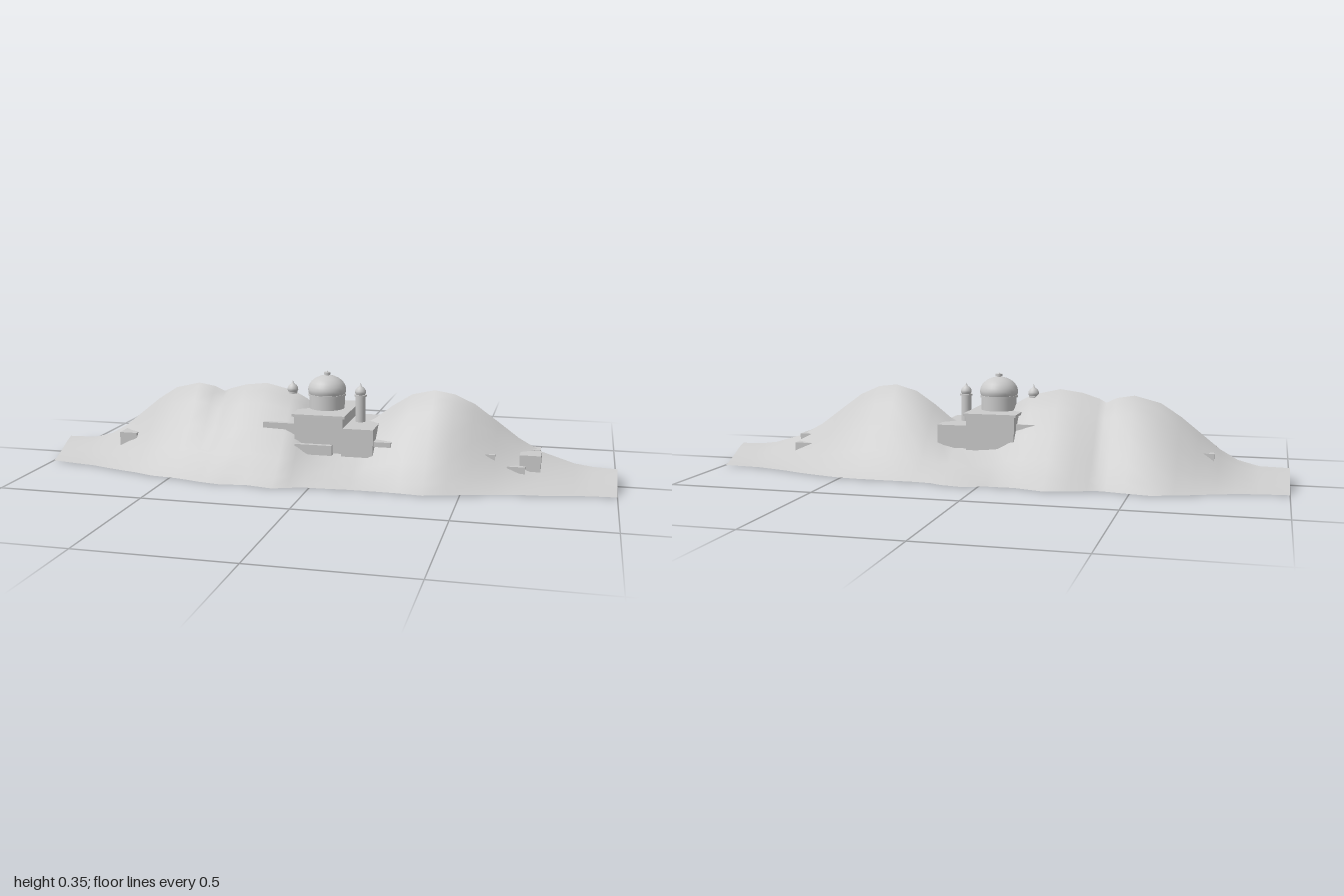
import * as THREE from 'three';

const material = new THREE.MeshStandardMaterial({ color: 0xcccccc });
const slopeMaterial = new THREE.MeshStandardMaterial({ color: 0xcccccc, side: THREE.DoubleSide });

// Hill stations: x, ridge height, ridge z, front foot z, back foot z
const stations = [
  [-1, 0.06, -0.01, 0.13, -0.16], [-0.9, 0.062, -0.01, 0.15, -0.17], [-0.83, 0.08, -0.01, 0.16, -0.185],
  [-0.77, 0.115, -0.015, 0.18, -0.205], [-0.7, 0.172, -0.02, 0.2, -0.235], [-0.64, 0.22, -0.02, 0.215, -0.255],
  [-0.57, 0.265, -0.02, 0.24, -0.28], [-0.48, 0.287, -0.015, 0.25, -0.265], [-0.42, 0.277, -0.015, 0.265, -0.253],
  [-0.385, 0.26, -0.02, 0.275, -0.25], [-0.36, 0.272, -0.01, 0.28, -0.26], [-0.3, 0.29, -0.005, 0.29, -0.28],
  [-0.22, 0.3, 0, 0.275, -0.3], [-0.12, 0.277, 0, 0.295, -0.27], [-0.07, 0.25, 0, 0.275, -0.272],
  [-0.02, 0.2, 0, 0.258, -0.272], [0.05, 0.17, 0, 0.256, -0.3], [0.13, 0.168, -0.01, 0.25, -0.285],
  [0.17, 0.188, -0.02, 0.25, -0.265], [0.23, 0.235, -0.02, 0.25, -0.258], [0.3, 0.28, -0.015, 0.252, -0.258],
  [0.38, 0.3, -0.005, 0.26, -0.258], [0.45, 0.291, 0.005, 0.24, -0.257], [0.52, 0.26, 0.005, 0.218, -0.25],
  [0.6, 0.2, -0.005, 0.197, -0.23], [0.67, 0.147, -0.01, 0.178, -0.21], [0.75, 0.103, -0.01, 0.17, -0.18],
  [0.86, 0.07, -0.005, 0.145, -0.15], [0.92, 0.062, -0.005, 0.137, -0.145], [1, 0.06, 0, 0.13, -0.14],
];

// Slope outline from ridge to foot: distance fraction, height fraction
const slope = [[0, 1], [0.1, 0.92], [0.22, 0.81], [0.43, 0.56], [0.65, 0.3], [0.85, 0.11], [1, 0]];

const sectionPoint = ([x, h, rz, front, back], side, [d, f]) =>
  [x, h * f, rz + d * ((side > 0 ? front : back) - rz)];

// Grid of points joined into a surface; flip reverses the facing
function surface(rows, flip, mat) {
  const cols = rows[0].length;
  const index = [];
  for (let i = 0; i < rows.length - 1; i++) {
    for (let j = 0; j < cols - 1; j++) {
      const a = i * cols + j, b = a + 1, c = a + cols, d = c + 1;
      if (flip) index.push(a, c, b, b, c, d);
      else index.push(a, b, c, b, d, c);
    }
  }
  const g = new THREE.BufferGeometry();
  g.setAttribute('position', new THREE.Float32BufferAttribute(rows.flat(2), 3));
  g.setIndex(index);
  g.computeVertexNormals();
  return new THREE.Mesh(g, mat);
}

function add(parent, name, mesh) {
  mesh.name = name;
  parent.add(mesh);
  return mesh;
}

// Box given by its limits on each axis
function block(parent, name, x0, x1, y0, y1, z0, z1, turn = 0) {
  const mesh = add(parent, name, new THREE.Mesh(new THREE.BoxGeometry(x1 - x0, y1 - y0, z1 - z0), material));
  mesh.position.set((x0 + x1) / 2, (y0 + y1) / 2, (z0 + z1) / 2);
  mesh.rotation.y = turn;
}

function turned(parent, name, points, segments, x = 0) {
  const profile = points.map(([r, y]) => new THREE.Vector2(r, y));
  const mesh = add(parent, name, new THREE.Mesh(new THREE.LatheGeometry(profile, segments), slopeMaterial));
  mesh.position.x = x;
}

function cylinder(parent, name, r, y0, y1, x = 0) {
  const mesh = add(parent, name, new THREE.Mesh(new THREE.CylinderGeometry(r, r, y1 - y0, 24), material));
  mesh.position.set(x, (y0 + y1) / 2, 0);
}

function createHills() {
  const hills = new THREE.Group();
  hills.name = 'hills';
  // Two slopes meet in a sharp ridge
  for (const side of [1, -1]) {
    const rows = stations.map((s) => slope.map((p) => sectionPoint(s, side, p)));
    add(hills, side > 0 ? 'frontSlope' : 'backSlope', surface(rows, side < 0, slopeMaterial));
  }
  // Flat underside
  const feet = stations.map(([x, , , front, back]) => [[x, 0, front], [x, 0, back]]);
  add(hills, 'underside', surface(feet, false, slopeMaterial));
  // Closed ends
  for (const end of [stations[0], stations[stations.length - 1]]) {
    const rows = [1, -1].flatMap((side) => {
      const list = slope.map((p) => sectionPoint(end, side, p));
      return side > 0 ? list.reverse() : list.slice(1);
    }).map(([x, y, z]) => [[x, y, z], [x, 0, z]]);
    add(hills, 'endFace', surface(rows, end[0] > 0, slopeMaterial));
  }
  return hills;
}

function createPalace() {
  const palace = new THREE.Group();
  palace.name = 'palace';
  block(palace, 'mainHall', -0.085, 0.085, 0.09, 0.215, -0.13, 0.13);
  block(palace, 'roofSlab', -0.093, 0.093, 0.213, 0.222, -0.137, 0.137);
  block(palace, 'frontTerrace', -0.08, 0.05, 0.085, 0.12, 0.05, 0.147);
  block(palace, 'sideHall', 0.08, 0.19, 0.08, 0.178, -0.123, 0.127);
  block(palace, 'leftWing', 0.15, 0.25, 0.118, 0.135, -0.1, 0.118);
  block(palace, 'rightWing', -0.2, -0.08, 0.13, 0.185, -0.1, 0.12);
  // Great dome on its drum
  cylinder(palace, 'drum', 0.062, 0.2, 0.268);
  cylinder(palace, 'drumLedge', 0.066, 0.266, 0.273);
  turned(palace, 'dome', [[0.062, 0.27], [0.0665, 0.28], [0.067, 0.29], [0.064, 0.302], [0.056, 0.315],
    [0.043, 0.326], [0.026, 0.334], [0.01, 0.338], [0, 0.339]], 32);
  cylinder(palace, 'lantern', 0.009, 0.335, 0.342);
  cylinder(palace, 'lanternCap', 0.012, 0.34, 0.348);
  turned(palace, 'domeTip', [[0.005, 0.347], [0.003, 0.35], [0, 0.354]], 12);
  // Small domed towers
  for (const [x, base] of [[0.12, 0.16], [-0.125, 0.24]]) {
    cylinder(palace, 'towerShaft', x > 0 ? 0.018 : 0.011, base, 0.274, x);
    cylinder(palace, 'towerLedge', x > 0 ? 0.022 : 0.016, 0.268, 0.274, x);
    turned(palace, 'towerDome', [[0.015, 0.273], [0.019, 0.28], [0.019, 0.287], [0.014, 0.296],
      [0.006, 0.302], [0.003, 0.306], [0, 0.315]], 20, x);
  }
  return palace;
}

function createHouses() {
  const houses = new THREE.Group();
  houses.name = 'houses';
  // Houses half sunk into the slopes
  block(houses, 'rightHouse', -0.755, -0.69, 0.055, 0.11, -0.085, 0.085);
  block(houses, 'leftHouse', 0.68, 0.75, 0.055, 0.11, 0.005, 0.083);
  block(houses, 'leftAnnex', 0.64, 0.7, 0.05, 0.073, 0.03, 0.1);
  block(houses, 'leftBackHouse', 0.68, 0.745, 0.055, 0.086, -0.087, -0.03);
  block(houses, 'ridgeHouse', 0.7, 0.745, 0.08, 0.112, -0.04, 0.01);
  block(houses, 'leftUpperHouse', 0.53, 0.6, 0.085, 0.11, 0.02, 0.1);
  return houses;
}

export function createModel() {
  const model = new THREE.Group();
  model.name = 'hilltopPalace';
  model.add(createHills(), createPalace(), createHouses());
  return model;
}
